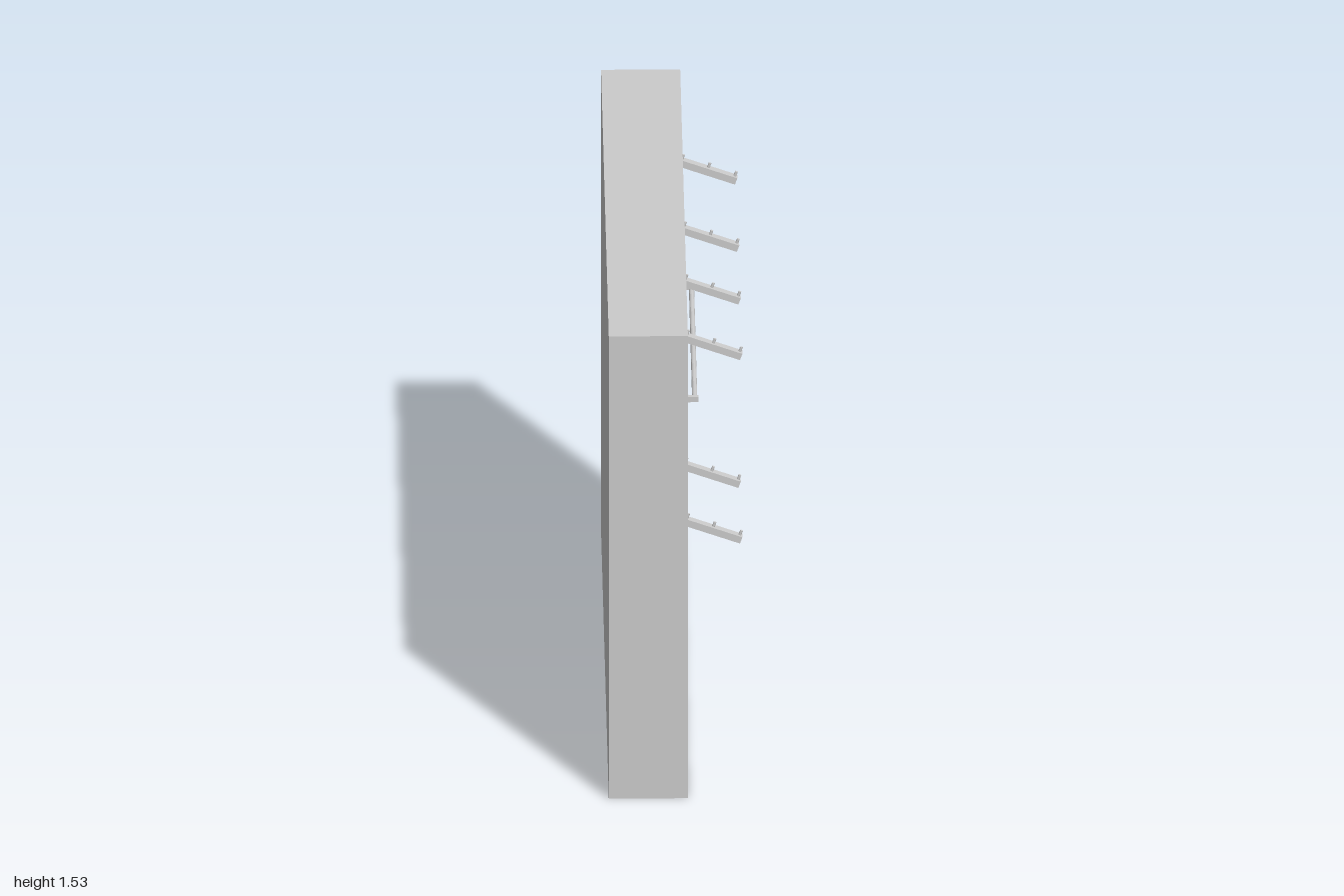
import * as THREE from 'three';

const grey = new THREE.MeshStandardMaterial({ color: 0xcccccc, flatShading: true });
const H = 1.532, BACK = -0.205, RIM = 0.035, PANEL = -0.133, WALL = 0.012;

function add(parent, name, geometry, x = 0, y = 0, z = 0) {
  const mesh = new THREE.Mesh(geometry, grey);
  mesh.name = name;
  mesh.position.set(x, y, z);
  parent.add(mesh);
  return mesh;
}

// Square bar along +x, from x = 0 to x = length, with a tapering section
function taperedBar(length, h0, w0, h1, w1) {
  const g = new THREE.BoxGeometry(length, 1, 1).translate(length / 2, 0, 0);
  const p = g.attributes.position;
  for (let i = 0; i < p.count; i++) {
    const t = p.getX(i) / length;
    p.setY(i, p.getY(i) * THREE.MathUtils.lerp(h0, h1, t));
    p.setZ(i, p.getZ(i) * THREE.MathUtils.lerp(w0, w1, t));
  }
  g.computeVertexNormals();
  return g;
}

// Square wall plate with a slightly bevelled front
function addPlate(parent) {
  add(parent, 'plateBase', new THREE.BoxGeometry(0.01, 0.064, 0.064), 0.005);
  add(parent, 'plateBevel', taperedBar(0.007, 0.064, 0.064, 0.05, 0.05), 0.01);
}

// Sloping display arm with stop pegs on its upper side
function createHook(y, z) {
  const hook = new THREE.Group();
  hook.name = 'hook';
  hook.position.set(PANEL, y, z);
  addPlate(hook);
  const arm = new THREE.Group();
  arm.name = 'slopingArm';
  arm.rotation.z = -Math.atan(0.355);
  hook.add(arm);
  const length = 0.353;
  add(arm, 'armBar', taperedBar(length, 0.022, 0.028, 0.022, 0.028));
  for (const d of [0.008, 0.093, 0.178]) {
    add(arm, 'peg', new THREE.CylinderGeometry(0.0045, 0.0045, 0.016, 12), length - d, 0.018, 0);
  }
  return hook;
}

export function createModel() {
  const model = new THREE.Group();
  model.name = 'wallDisplayCase';

  // Shallow open case facing +x
  const frame = new THREE.Group();
  frame.name = 'case';
  model.add(frame);
  const depth = RIM - BACK, cx = (RIM + BACK) / 2;
  add(frame, 'backPanel', new THREE.BoxGeometry(PANEL - BACK, H - 2 * WALL, 2 - 2 * WALL), (PANEL + BACK) / 2, H / 2);
  for (const s of [-1, 1]) {
    add(frame, s > 0 ? 'topWall' : 'bottomWall', new THREE.BoxGeometry(depth, WALL, 2), cx, H / 2 + s * (H - WALL) / 2);
    add(frame, 'sideWall', new THREE.BoxGeometry(depth, H - 2 * WALL, WALL), cx, H / 2, s * (1 - WALL / 2));
  }

  // Four hooks above, two below
  for (const z of [0.722, 0.305, -0.09, -0.595]) model.add(createHook(1.463, z));
  for (const z of [0.722, 0.305]) model.add(createHook(0.855, z));

  // Hanging rail on two tapering arms
  const rail = new THREE.Group();
  rail.name = 'hangingRail';
  model.add(rail);
  const z0 = -0.063, z1 = -0.905, y = 0.855;
  for (const z of [z0, z1]) {
    const bracket = new THREE.Group();
    bracket.name = 'railBracket';
    bracket.position.set(PANEL, y, z);
    addPlate(bracket);
    add(bracket, 'railArm', taperedBar(0.213, 0.032, 0.024, 0.016, 0.014));
    rail.add(bracket);
  }
  add(rail, 'railBar', new THREE.CylinderGeometry(0.008, 0.008, z0 - z1, 16).rotateX(Math.PI / 2), 0.068, y, (z0 + z1) / 2);

  return model;
}
